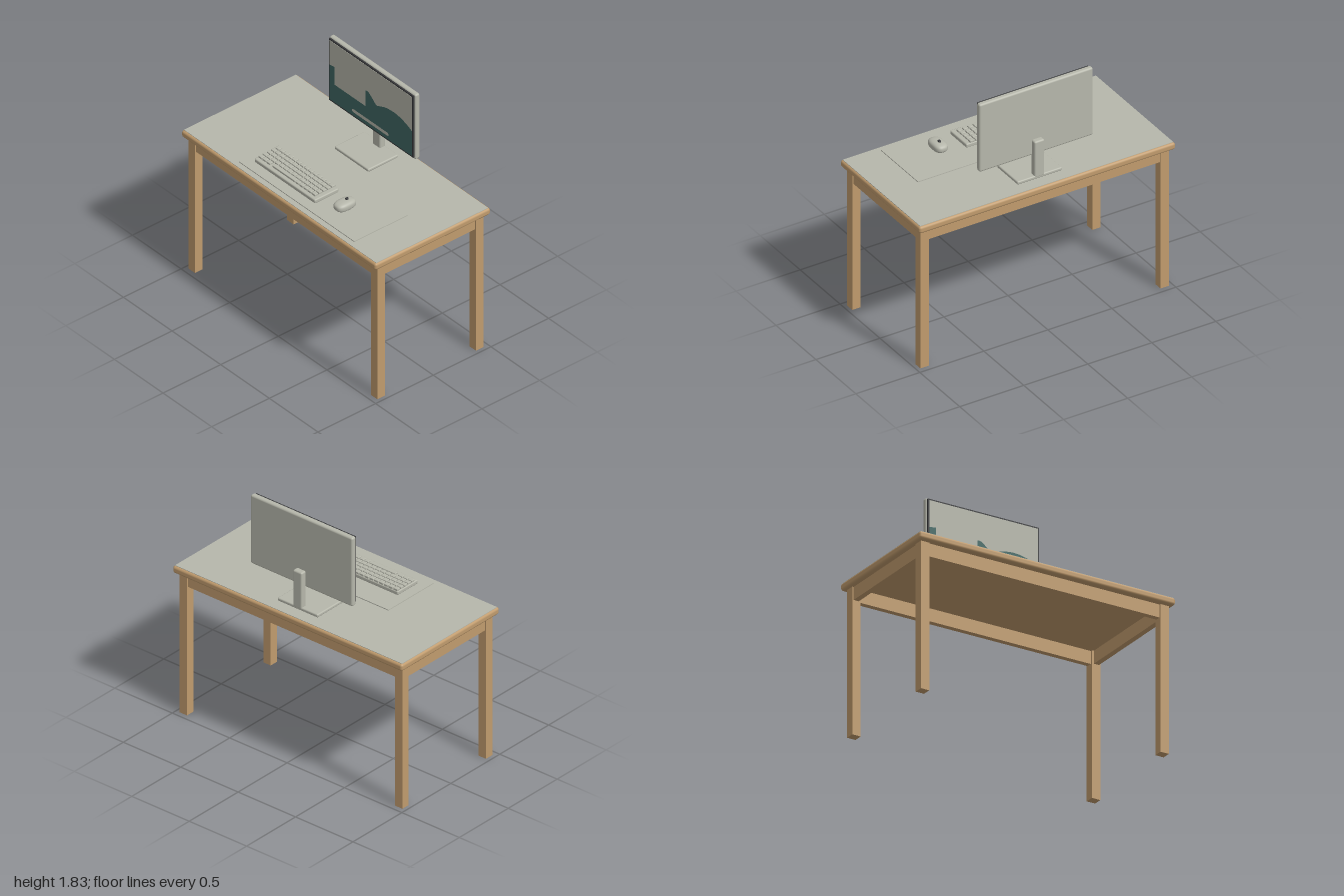
import * as THREE from 'three';
import { RoundedBoxGeometry } from 'three/addons/geometries/RoundedBoxGeometry.js';
import { mergeVertices } from 'three/addons/utils/BufferGeometryUtils.js';

const mat = (name, color) => {
  const m = new THREE.MeshStandardMaterial({ color });
  m.name = name;
  return m;
};

export function createModel() {
  const wood = mat('wood', 0xc09b6d);
  const grey = mat('warmGrey', 0xb6b7ab);
  const dark = mat('darkFrame', 0x37383a);
  const teal = mat('screenTeal', 0x3f6763);

  const model = new THREE.Group();
  model.name = 'computerDesk';
  const group = (name) => {
    const g = new THREE.Group();
    g.name = name;
    model.add(g);
    return g;
  };
  const add = (parent, name, geometry, material) => {
    const mesh = new THREE.Mesh(geometry, material);
    mesh.name = name;
    parent.add(mesh);
    return mesh;
  };
  // Box given by its limits on each axis; r > 0 rounds its edges
  const box = (parent, name, material, [x0, x1], [y0, y1], [z0, z1], r = 0) => {
    const size = [x1 - x0, y1 - y0, z1 - z0];
    const geo = r ? new RoundedBoxGeometry(...size, 3, r) : new THREE.BoxGeometry(...size);
    const mesh = add(parent, name, geo, material);
    mesh.position.set((x0 + x1) / 2, (y0 + y1) / 2, (z0 + z1) / 2);
    return mesh;
  };

  // Desk: rounded wooden top with a grey writing surface, legs and aprons
  const desk = group('desk');
  box(desk, 'tableTop', wood, [-1, 1], [1.08, 1.133], [-0.5, 0.5], 0.018);
  box(desk, 'deskSurface', grey, [-0.988, 0.988], [1.128, 1.136], [-0.485, 0.485]);
  for (const s of [-1, 1]) {
    for (const t of [-1, 1]) {
      const leg = box(desk, 'leg', wood, [-0.0325, 0.0325], [0, 1.085], [-0.0325, 0.0325]);
      leg.position.x = s * 0.9375;
      leg.position.z = t * 0.4275;
    }
    const longApron = box(desk, 'longApron', wood, [-0.905, 0.905], [0.985, 1.085], [-0.02, 0.02]);
    longApron.position.z = s * 0.43;
    const sideApron = box(desk, 'sideApron', wood, [-0.02, 0.02], [0.985, 1.085], [-0.395, 0.395]);
    sideApron.position.x = s * 0.94;
  }

  // Monitor: stand, casing, dark bezel and screen
  const monitor = group('monitor');
  box(monitor, 'standBase', grey, [-0.178, 0.172], [1.136, 1.161], [-0.397, -0.135], 0.009);
  box(monitor, 'standNeck', grey, [-0.04, 0.038], [1.145, 1.427], [-0.398, -0.35], 0.012);
  box(monitor, 'casing', grey, [-0.445, 0.443], [1.303, 1.831], [-0.356, -0.315], 0.014);
  box(monitor, 'bezel', dark, [-0.434, 0.432], [1.321, 1.822], [-0.32, -0.304]);
  box(monitor, 'screen', grey, [-0.425, 0.423], [1.333, 1.812], [-0.305, -0.302]);

  // Screen picture: stepped block on the left, rolling hills on the right
  const hills = new THREE.Shape();
  hills.moveTo(-0.425, 1.333);
  hills.lineTo(0.423, 1.333);
  hills.lineTo(0.423, 1.537);
  hills.splineThru([
    [0.372, 1.56], [0.307, 1.58], [0.238, 1.588], [0.158, 1.58],
    [0.104, 1.562], [0.061, 1.547], [0.024, 1.574], [-0.013, 1.603],
  ].map(([x, y]) => new THREE.Vector2(x, y)));
  hills.quadraticCurveTo(-0.035, 1.616, -0.051, 1.607);
  hills.lineTo(-0.051, 1.486);
  hills.quadraticCurveTo(-0.051, 1.478, -0.06, 1.478);
  hills.lineTo(-0.365, 1.478);
  hills.quadraticCurveTo(-0.373, 1.478, -0.373, 1.486);
  hills.lineTo(-0.373, 1.621);
  hills.lineTo(-0.425, 1.615);
  add(monitor, 'screenHills', new THREE.ShapeGeometry(hills, 6), teal).position.z = -0.3005;

  const bar = new THREE.Shape();
  bar.absarc(0.172, 1.374, 0.013, -Math.PI / 2, Math.PI / 2);
  bar.absarc(-0.177, 1.374, 0.013, Math.PI / 2, Math.PI * 1.5);
  add(monitor, 'screenBar', new THREE.ShapeGeometry(bar), grey).position.z = -0.299;

  // Desk mat
  const accessories = group('accessories');
  box(accessories, 'deskMat', grey, [-0.472, 0.714], [1.134, 1.142], [-0.018, 0.444]);

  // Keyboard with five rows of keys; the last row holds the space bar
  const keyboard = group('keyboard');
  box(keyboard, 'keyboardBody', grey, [-0.4, 0.223], [1.142, 1.173], [0.162, 0.371], 0.009);
  const key = (name, x0, x1, z) =>
    box(keyboard, name, grey, [x0, x1], [1.17, 1.187], [z, z + 0.031], 0.004);
  const pitch = 0.0422;
  for (let row = 0; row < 5; row++) {
    const z = 0.165 + row * 0.0368;
    for (let col = 0; col < 14; col++) {
      if (row === 4 && col > 2 && col < 9) continue;
      const x = -0.394 + col * pitch;
      key('key', x, x + 0.036, z);
    }
  }
  key('spaceBar', -0.249, -0.018, 0.165 + 4 * 0.0368);

  // Mouse: sphere pushed out to a soft, boxy ellipsoid, plus a scroll wheel
  const mouse = group('mouse');
  let body = new THREE.IcosahedronGeometry(1, 10);
  body.deleteAttribute('normal');
  body.deleteAttribute('uv');
  body = mergeVertices(body);
  const p = body.attributes.position;
  for (let i = 0; i < p.count; i++) {
    const v = new THREE.Vector3().fromBufferAttribute(p, i);
    const n = 2.8;
    v.divideScalar((Math.abs(v.x) ** n + Math.abs(v.y) ** n + Math.abs(v.z) ** n) ** (1 / n));
    p.setXYZ(i, v.x * 0.05, v.y * 0.034, v.z * 0.08);
  }
  body.computeVertexNormals();
  add(mouse, 'mouseBody', body, grey).position.set(0.39, 1.178, 0.253);
  box(mouse, 'scrollWheel', dark, [0.381, 0.399], [1.195, 1.222], [0.224, 0.246], 0.004);

  return model;
}
